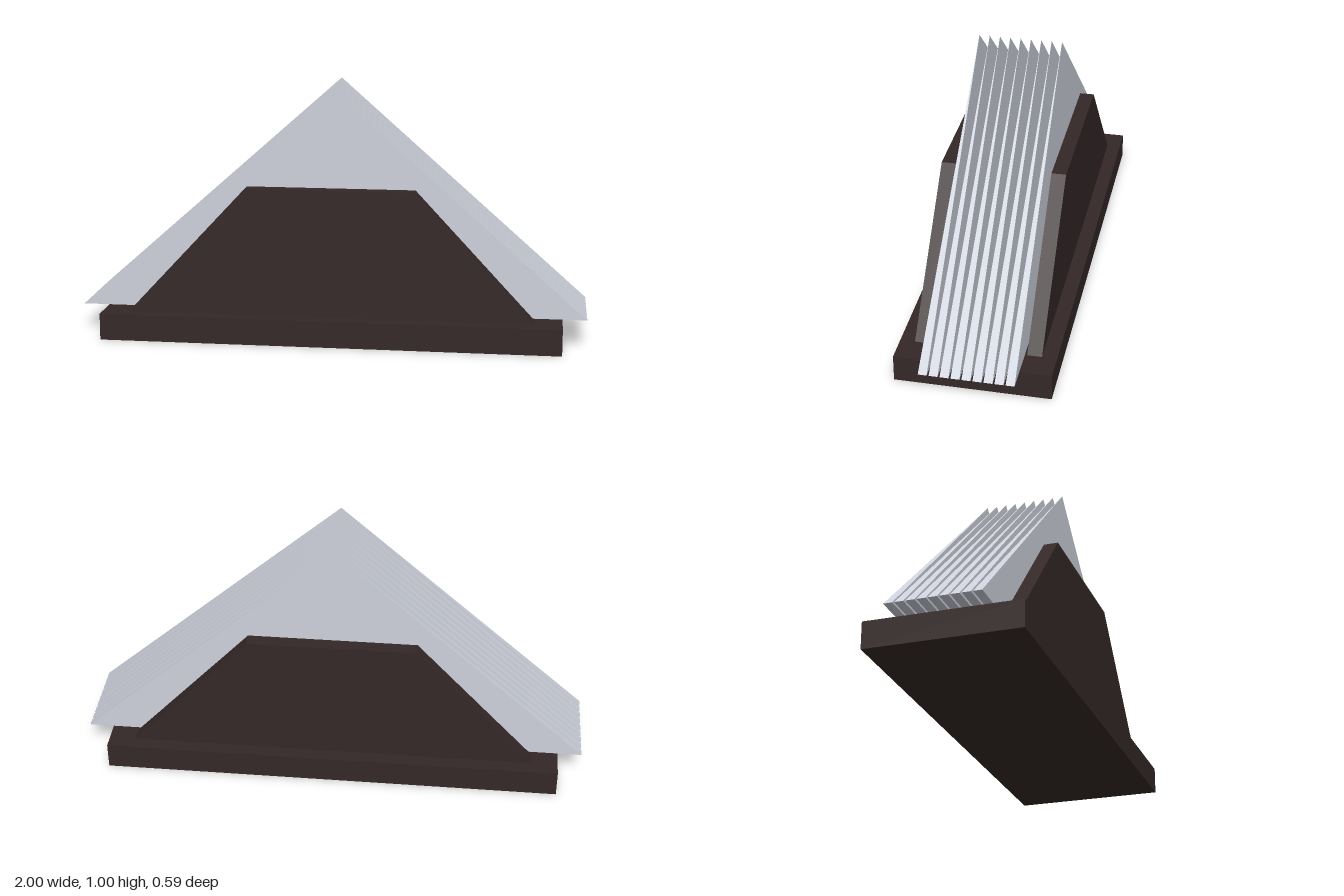
import * as THREE from 'three';

export function createModel() {
  const model = new THREE.Group();
  model.name = 'napkinHolder';

  const darkWood = new THREE.MeshStandardMaterial({ color: 0x342827 });
  darkWood.name = 'darkWood';
  const paper = new THREE.MeshStandardMaterial({ color: 0xccd0da, flatShading: true });
  paper.name = 'paper';

  const add = (name, geometry, material, x, y, z) => {
    const mesh = new THREE.Mesh(geometry, material);
    mesh.name = name;
    mesh.position.set(x, y, z);
    model.add(mesh);
  };

  // Base slab
  const baseHeight = 0.105;
  add('base', new THREE.BoxGeometry(1.81, baseHeight, 0.594), darkWood, 0, baseHeight / 2, 0);

  // Two trapezoid side panels standing on the base
  const thickness = 0.056;
  const outline = new THREE.Shape([
    new THREE.Vector2(-0.8, 0), new THREE.Vector2(0.8, 0),
    new THREE.Vector2(0.33, 0.505), new THREE.Vector2(-0.33, 0.505),
  ]);
  const panel = new THREE.ExtrudeGeometry(outline, { depth: thickness, bevelEnabled: false });
  panel.translate(0, 0, -thickness / 2);
  add('frontPanel', panel, darkWood, 0, baseHeight, 0.213);
  add('backPanel', panel, darkWood, 0, baseHeight, -0.213);

  // Folded napkins: thin four-sided wedges tapering to a point
  const bottom = 0.113, height = 1 - bottom;
  const napkin = new THREE.ConeGeometry(Math.SQRT2, height, 4)
    .rotateY(Math.PI / 4)
    .scale(1, 1, 0.0165)
    .toNonIndexed();
  napkin.computeVertexNormals();
  const count = 9, spacing = 0.0405;
  for (let i = 0; i < count; i++) {
    add(`napkin${i + 1}`, napkin, paper, 0, bottom + height / 2, (i - (count - 1) / 2) * spacing);
  }

  return model;
}
